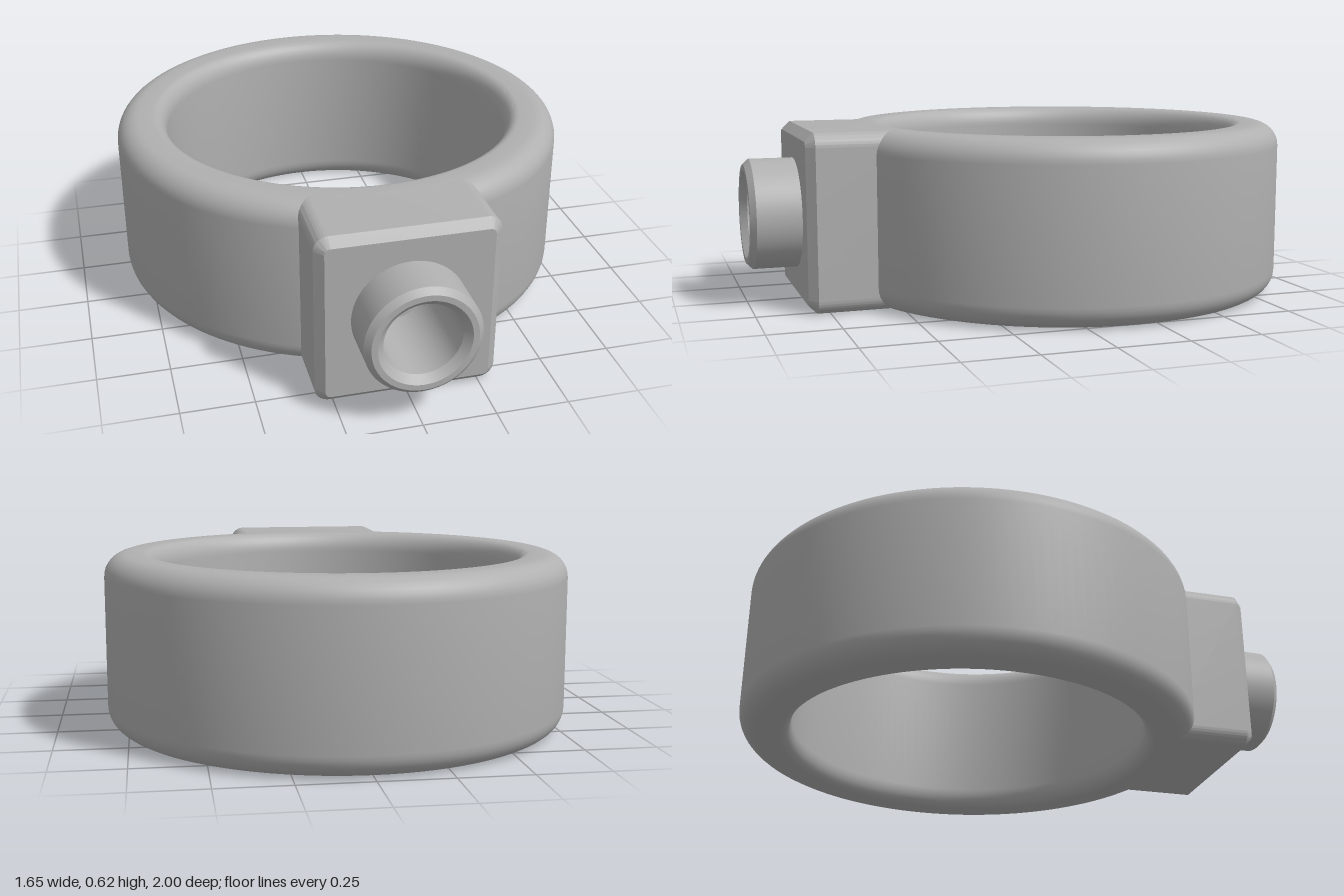
import * as THREE from 'three';
import { toCreasedNormals } from 'three/addons/utils/BufferGeometryUtils.js';

const H = 0.62;          // overall height
const RING_Z = -0.175;   // ring centre

// Quarter-ellipse fillet points from angle a0 to a0 + 90 degrees
function fillet(cx, cy, rx, ry, a0, steps = 8) {
  return Array.from({ length: steps + 1 }, (_, i) => {
    const a = a0 + (i / steps) * Math.PI / 2;
    return new THREE.Vector2(cx + rx * Math.cos(a), cy + ry * Math.sin(a));
  });
}

function lathe(points, segments) {
  return toCreasedNormals(new THREE.LatheGeometry(points, segments), 0.5);
}

function roundedRect(w, h, r) {
  const s = new THREE.Shape(), x = w / 2, y = h / 2;
  s.absarc(x - r, y - r, r, 0, Math.PI / 2);
  s.absarc(-x + r, y - r, r, Math.PI / 2, Math.PI);
  s.absarc(-x + r, -y + r, r, Math.PI, Math.PI * 1.5);
  s.absarc(x - r, -y + r, r, Math.PI * 1.5, Math.PI * 2);
  s.closePath();
  return s;
}

export function createModel() {
  const model = new THREE.Group();
  model.name = 'ringClamp';
  const grey = new THREE.MeshStandardMaterial({ color: 0xb0b0b0 });
  grey.name = 'grey';
  const add = (name, geometry) => {
    const mesh = new THREE.Mesh(geometry, grey);
    mesh.name = name;
    model.add(mesh);
    return mesh;
  };

  // Ring band: filleted outside edges and softer bore edges
  const outer = 0.825, bore = 0.64, ro = 0.08, rx = 0.05, ry = 0.07;
  const profile = [
    ...fillet(outer - ro, ro, ro, ro, -Math.PI / 2),
    ...fillet(outer - ro, H - ro, ro, ro, 0),
    ...fillet(bore + rx, H - ry, rx, ry, Math.PI / 2),
    ...fillet(bore + rx, ry, rx, ry, Math.PI),
  ];
  profile.push(profile[0].clone());
  add('ringBand', lathe(profile, 128)).position.z = RING_Z;

  // Mounting block with chamfered front, opened for the socket
  const c = 0.03;
  const shape = roundedRect(0.62, H, 0.05);
  const hole = new THREE.Path();
  hole.absarc(0, 0, 0.155, 0, Math.PI * 2, true);
  shape.holes.push(hole);
  const block = new THREE.ExtrudeGeometry(shape, {
    depth: 0.28, bevelEnabled: true, bevelThickness: c, bevelSize: c,
    bevelOffset: -c, bevelSegments: 1, curveSegments: 12,
  });
  add('mountingBlock', toCreasedNormals(block, 0.5)).position.set(0, H / 2, 0.515);

  // Hollow spout with chamfered rim and blind bore
  const spout = [
    [0.195, 0.6], [0.195, 0.98], [0.175, 1], [0.155, 1],
    [0.13, 0.975], [0.13, 0.6], [0, 0.6],
  ].map(([x, y]) => new THREE.Vector2(x, y));
  const tube = add('spout', lathe(spout, 64));
  tube.rotation.x = Math.PI / 2;
  tube.position.y = 0.315;

  return model;
}
